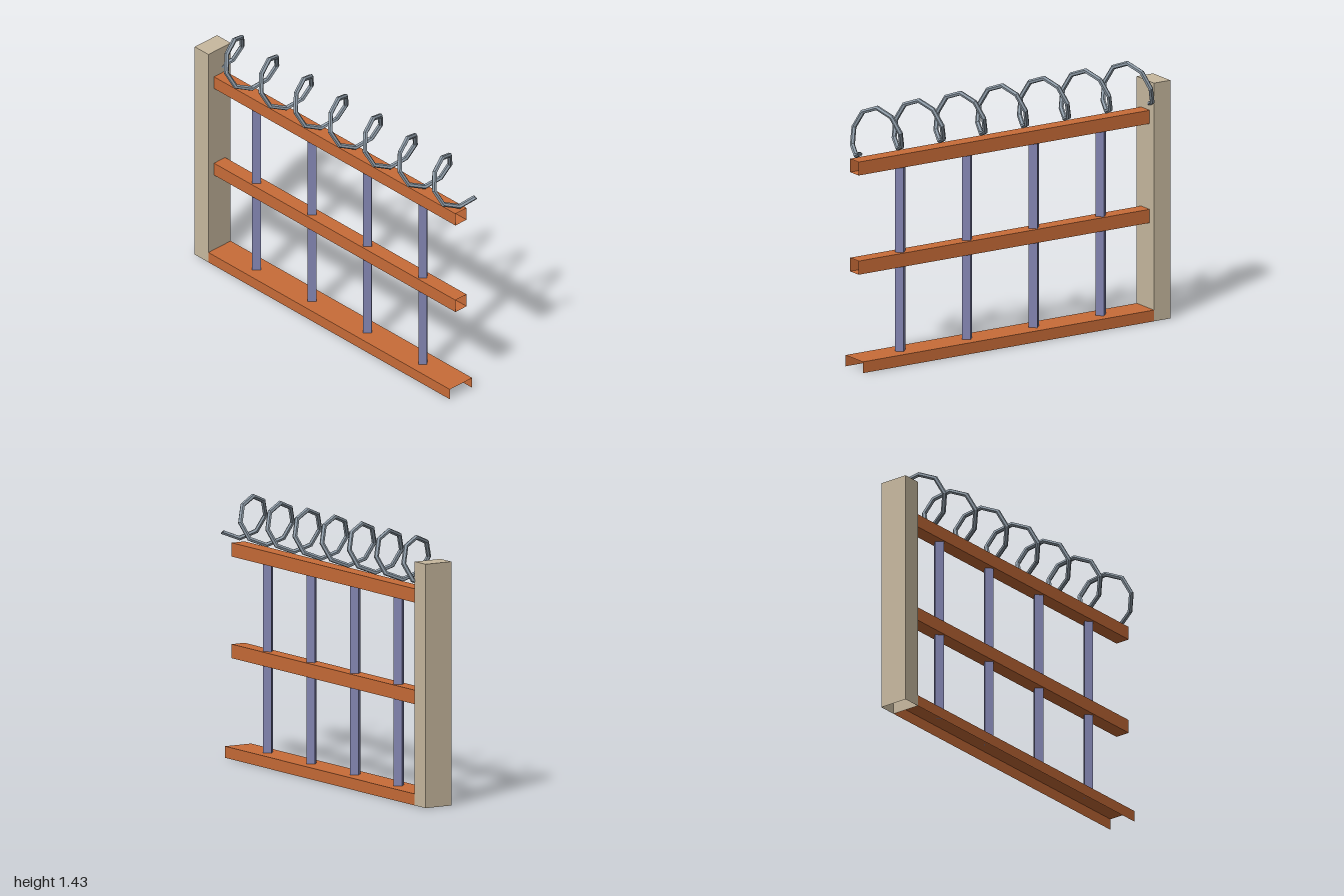
import * as THREE from 'three';

const mat = (name, color, extra = {}) => new THREE.MeshStandardMaterial({ name, color, ...extra });

// Thin-walled box with some sides left open; sides are 0 +x, 1 -x, 2 +y, 3 -y, 4 +z, 5 -z
function openBox(x0, x1, y0, y1, depth, openSides) {
  const geo = new THREE.BoxGeometry(x1 - x0, y1 - y0, depth);
  geo.translate((x0 + x1) / 2, (y0 + y1) / 2, 0);
  const index = Array.from(geo.index.array);
  geo.setIndex(index.filter((_, i) => !openSides.includes(Math.floor(i / 6))));
  geo.clearGroups();
  return geo;
}

// Helix along x that starts and ends low in the coil
class Coil extends THREE.Curve {
  constructor(turns, pitch, radius, startX, centreY) {
    super();
    Object.assign(this, { turns, pitch, radius, startX, centreY });
  }
  getPoint(t, target = new THREE.Vector3()) {
    const turn = t * this.turns;
    const a = Math.PI + turn * Math.PI * 2;
    return target.set(
      this.startX + turn * this.pitch,
      this.centreY + this.radius * Math.cos(a),
      this.radius * Math.sin(a)
    );
  }
  getPointAt(t, target) { return this.getPoint(t, target); }
  getTangentAt(t, target) { return this.getTangent(t, target); }
}

export function createModel() {
  const group = new THREE.Group();
  const concrete = mat('concrete', 0xc9baa0, { side: THREE.DoubleSide });
  const rust = mat('rustOrange', 0xc96c38, { side: THREE.DoubleSide });
  const bar = mat('barBlue', 0x8284b0, { flatShading: true });
  const steel = mat('wireSteel', 0x8f9ca8, { flatShading: true, side: THREE.DoubleSide });

  const add = (name, geo, material) => {
    const mesh = new THREE.Mesh(geo, material);
    mesh.name = name;
    group.add(mesh);
    return mesh;
  };

  // End post, hollow underneath
  add('post', openBox(-1, -0.895, 0, 1.313, 0.164, [3]), concrete);

  // Bottom channel and two hollow rails, all with open ends
  add('bottomChannel', openBox(-0.895, 0.963, 0, 0.062, 0.164, [0, 1, 3]), rust);
  add('middleRail', openBox(-0.895, 0.963, 0.533, 0.608, 0.082, [0, 1]), rust);
  add('topRail', openBox(-0.895, 0.963, 1.08, 1.154, 0.082, [0, 1]), rust);

  // Square bars set corner-on
  for (let i = 0; i < 4; i++) {
    const geo = new THREE.CylinderGeometry(0.033, 0.033, 1.038, 4);
    add('verticalBar', geo, bar).position.set(-0.61 + i * 0.4265, 0.581, 0);
  }

  // Coiled wire, eight straight pieces per turn
  const coil = new Coil(7.125, 0.2665, 0.122, -0.915, 1.299);
  add('wireCoil', new THREE.TubeGeometry(coil, 57, 0.0135, 6, false), steel);

  return group;
}
